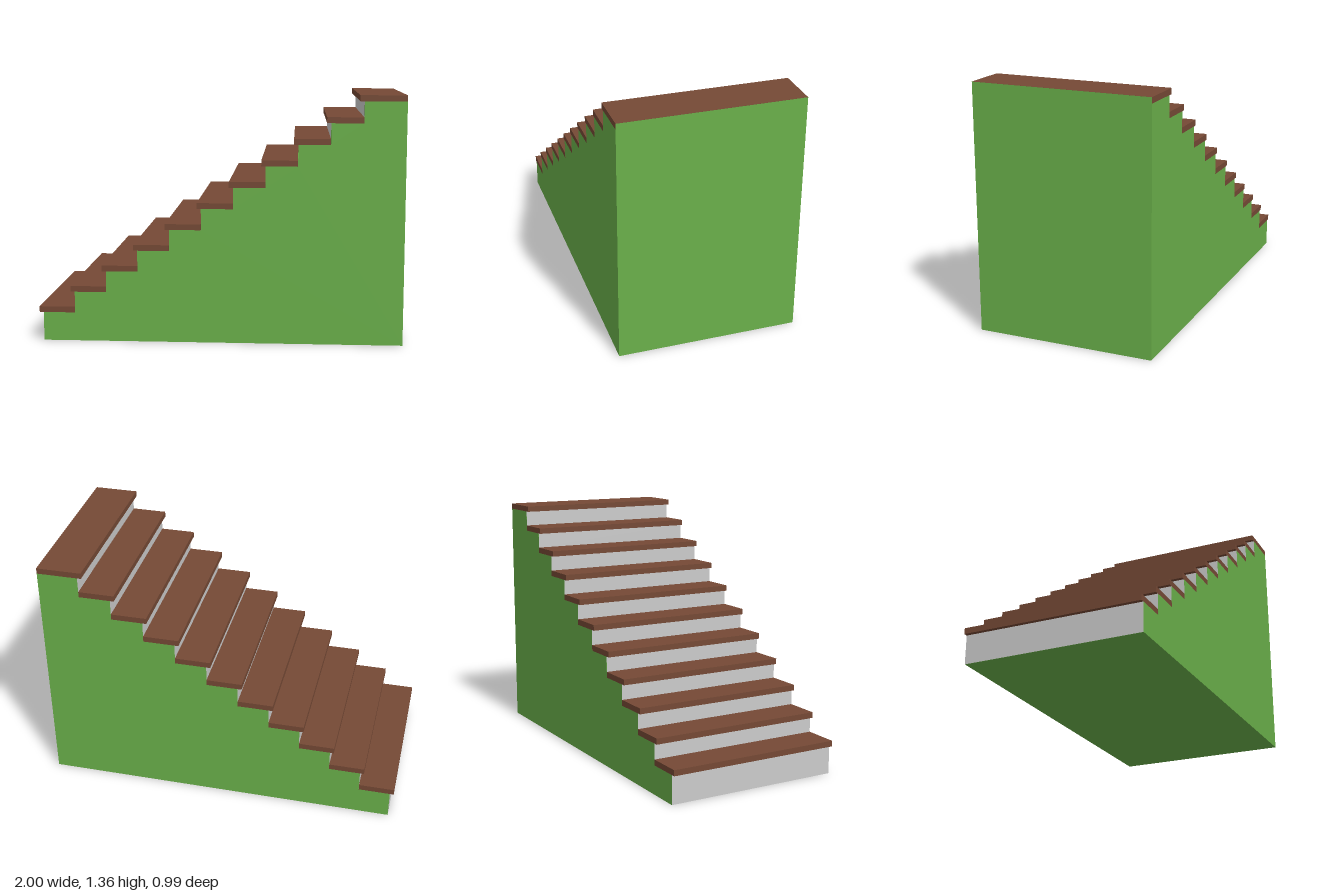
import * as THREE from 'three';

const STEPS = 11, RUN = 0.175, RISE = 0.117, FIRST_TOP = 0.19;
const THICK = 0.032, NOSE = 0.022, DEPTH = 0.992, SKIN = 0.001;

export function createModel() {
  const group = new THREE.Group();
  const green = new THREE.MeshStandardMaterial({ color: 0x6ab04a });
  const brown = new THREE.MeshStandardMaterial({ color: 0x754935 });
  const grey = new THREE.MeshStandardMaterial({ color: 0xcccccc });

  const add = (name, geometry, material, x, y, z = 0) => {
    const mesh = new THREE.Mesh(geometry, material);
    mesh.name = name;
    mesh.position.set(x, y, z);
    group.add(mesh);
    return mesh;
  };
  const noseX = i => -1 + i * RUN;
  const riserX = i => noseX(i) + NOSE;
  const topY = i => FIRST_TOP + i * RISE;

  // Solid stepped body under the treads
  const profile = new THREE.Shape();
  profile.moveTo(1 - SKIN, 0);
  for (let i = STEPS - 1; i >= 0; i--) {
    const back = i === STEPS - 1 ? 1 - SKIN : riserX(i + 1) + SKIN;
    profile.lineTo(back, topY(i) - THICK);
    profile.lineTo(riserX(i) + SKIN, topY(i) - THICK);
  }
  profile.lineTo(riserX(0) + SKIN, 0);
  const body = new THREE.ExtrudeGeometry(profile, { depth: DEPTH, bevelEnabled: false });
  add('body', body, green, 0, 0, -DEPTH / 2);

  // Overhanging treads, the last one a deeper landing, and the risers below them
  for (let i = 0; i < STEPS; i++) {
    const last = i === STEPS - 1;
    const end = last ? 1 - SKIN : riserX(i + 1);
    const width = end - noseX(i);
    add(last ? 'landing' : 'tread', new THREE.BoxGeometry(width, THICK, DEPTH), brown,
      noseX(i) + width / 2, topY(i) - THICK / 2);

    const bottom = i === 0 ? 0 : topY(i - 1);
    const height = topY(i) - THICK - bottom;
    add('riser', new THREE.PlaneGeometry(DEPTH, height), grey,
      riserX(i), bottom + height / 2).rotation.y = -Math.PI / 2;
  }

  // Tall end wall, covering the end of the landing
  const wallHeight = topY(STEPS - 1);
  add('endWall', new THREE.PlaneGeometry(DEPTH, wallHeight), green,
    1, wallHeight / 2).rotation.y = Math.PI / 2;

  return group;
}
